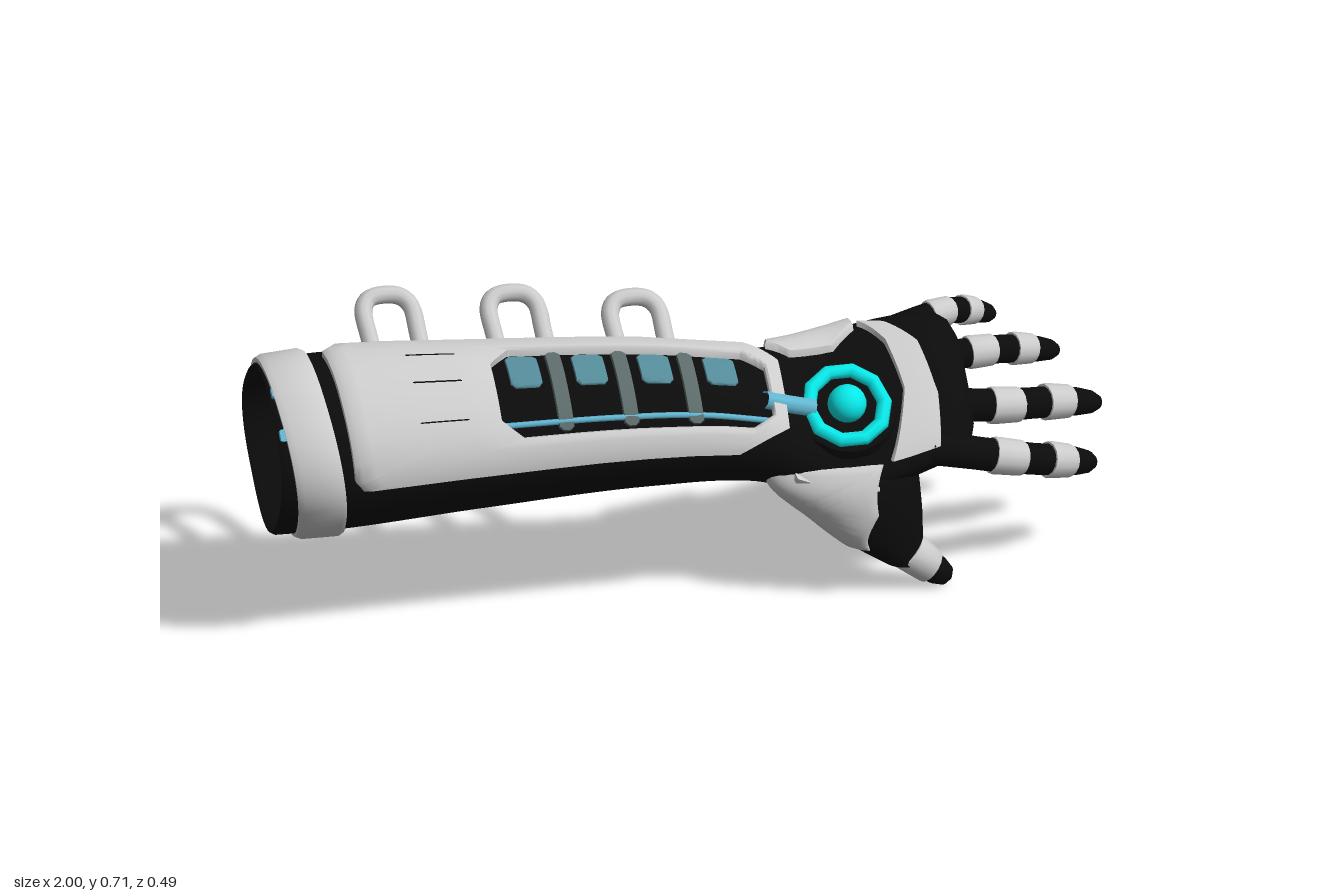
import * as THREE from 'three';
import { toCreasedNormals } from 'three/addons/utils/BufferGeometryUtils.js';

const mat = (color) => new THREE.MeshStandardMaterial({ color, side: THREE.DoubleSide });
const V = (x, y, z) => new THREE.Vector3(x, y, z);
const RAD = Math.PI / 180;

// Arm cross-section axes: N points out of the back of the hand, W to the little finger side
const N = V(0, 0.75, 0.66), W = V(0, 0.66, -0.75);

const table = (rows) => new THREE.CubicInterpolant(
  new Float32Array(rows.map((r) => r[0])),
  new Float32Array(rows.flatMap((r) => r.slice(1))), rows[0].length - 1);

// Arm sections along x: centre y, centre z, half width, thickness to the back, thickness to the palm
const arm = table([
  [-1.0, 0.45, 0.027, 0.198, 0.175, 0.14], [-0.85, 0.455, 0.03, 0.203, 0.178, 0.145],
  [-0.5, 0.46, 0.045, 0.184, 0.155, 0.142], [-0.1, 0.455, 0.06, 0.162, 0.13, 0.128],
  [0.15, 0.43, 0.062, 0.153, 0.106, 0.118], [0.25, 0.415, 0.06, 0.175, 0.08, 0.115],
  [0.35, 0.408, 0.06, 0.2, 0.06, 0.112], [0.45, 0.425, 0.056, 0.202, 0.056, 0.1],
  [0.58, 0.445, 0.047, 0.187, 0.052, 0.074], [0.66, 0.445, 0.035, 0.168, 0.044, 0.05],
]);

// Thumb mound sections going down (position is -y): centre x, centre z, half x, half z
const mound = table([
  [-0.42, 0.37, 0.09, 0.15, 0.065], [-0.3, 0.348, 0.145, 0.175, 0.08], [-0.2, 0.4, 0.155, 0.13, 0.076],
  [-0.12, 0.447, 0.165, 0.083, 0.055], [-0.07, 0.488, 0.166, 0.046, 0.042],
]);

// Point on the arm at x and angle (degrees from N), lifted off the surface; the palm side is squarer
function onArm(x, deg, lift = 0, scale = 1) {
  const [cy, cz, a, back, palm] = arm.evaluate(x);
  const cos = Math.cos(deg * RAD), power = cos < 0 ? 0.7 : 0.87;
  const [c, s] = [cos, Math.sin(deg * RAD)].map((v) => Math.sign(v) * Math.abs(v) ** power);
  const b = cos < 0 ? palm : back;
  return V(x, cy, cz).addScaledVector(N, (b + lift) * scale * c).addScaledVector(W, (a + lift) * scale * s);
}

// Point on the thumb mound, angle from the front towards the fingers
function onMound(down, deg, lift = 0) {
  const [cx, cz, a, b] = mound.evaluate(down);
  return V(cx + (a + lift) * Math.sin(deg * RAD), -down, cz + (b + lift) * Math.cos(deg * RAD));
}

// Skin over rows of points; each row is a closed loop
function skin(rows) {
  const n = rows[0].length, index = [];
  for (let r = 0; r < rows.length - 1; r++) {
    for (let c = 0; c < n; c++) {
      const d = (c + 1) % n;
      const p = r * n + c, q = p + n, s = r * n + d, t = s + n;
      index.push(p, q, t, p, t, s);
    }
  }
  const geo = new THREE.BufferGeometry().setFromPoints(rows.flat());
  geo.setIndex(index);
  return toCreasedNormals(geo, 0.9);
}

const loop = (n, point) => Array.from({ length: n }, (_, i) => point((i * 360) / n));
const armLoop = (x, lift, scale = 1) => loop(64, (deg) => onArm(x, deg, lift, scale));

// Armour plate on a surface, from an inner to an outer outline of [position, degrees] corners
function plate(outer, inner, lift, { hole = false, on = onArm } = {}) {
  const sub = 8, rings = 8;
  const trace = (pts) => pts.flatMap((p, i) => {
    const q = pts[(i + 1) % pts.length];
    return Array.from({ length: sub }, (_, k) => [
      p[0] + ((q[0] - p[0]) * k) / sub, p[1] + ((q[1] - p[1]) * k) / sub]);
  });
  const o = trace(outer), n = trace(inner);
  const ring = (f, h) => o.map((p, i) =>
    on(n[i][0] + (p[0] - n[i][0]) * f, n[i][1] + (p[1] - n[i][1]) * f, h));
  const rows = hole ? [ring(0, -0.01), ring(0, lift * 0.75)] : [ring(0, lift)];
  for (let k = 1; k < rings; k++) rows.push(ring(k / rings, lift));
  rows.push(ring(0.96, lift), ring(1, lift * 0.6), ring(1, -0.012));
  return skin(rows);
}

// Eight-cornered outline with chamfered corners
const outline = (x0, x1, d0, d1, cx, cd) => [
  [x0 + cx, d0], [x1 - cx, d0], [x1, d0 + cd], [x1, d1 - cd],
  [x1 - cx, d1], [x0 + cx, d1], [x0, d1 - cd], [x0, d0 + cd]];
function simplePlate(x0, x1, d0, d1, lift, cx = 0.01, cd = 3) {
  const mid = [(x0 + x1) / 2, (d0 + d1) / 2];
  return plate(outline(x0, x1, d0, d1, cx, cd), Array(8).fill(mid), lift);
}

// Round limb along a curve, with [t, radius] stations
function limb(curve, stations) {
  return skin(stations.map(([t, r]) => {
    const p = curve.getPoint(t), tan = curve.getTangent(t);
    const e1 = N.clone().addScaledVector(tan, -N.dot(tan)).normalize();
    const e2 = e1.clone().cross(tan);
    return loop(14, (deg) => p.clone()
      .addScaledVector(e1, r * Math.cos(deg * RAD)).addScaledVector(e2, r * Math.sin(deg * RAD)));
  }));
}
const band = (curve, t0, t1, r0, r1) => limb(curve, [
  [t0, r0 * 0.7], [t0, r0 * 0.95], [t0 + 0.02, r0], [t1 - 0.02, r1], [t1, r1 * 0.95], [t1, r1 * 0.7]]);

export function createModel() {
  const model = new THREE.Group();
  const white = mat(0xcccccc), black = mat(0x0b0b0b), cyan = mat(0x08e8e8);
  const glass = mat(0x548a98), steel = mat(0x5c6a6a), blue = mat(0x63b8d4);
  const add = (name, geo, material, parent = model) => {
    const mesh = new THREE.Mesh(geo, material);
    mesh.name = name;
    parent.add(mesh);
    return mesh;
  };

  // Dark sleeve with a hollow elbow end, running into the palm
  const rows = [armLoop(-0.9, 0, 0), armLoop(-0.9, 0, 0.85), armLoop(-0.99, 0, 0.93), armLoop(-1, 0, 0.97)];
  for (let i = 0; i <= 44; i++) rows.push(armLoop(-0.99 + (i * 1.61) / 44, 0));
  rows.push(armLoop(0.645, 0, 0.92), armLoop(0.66, 0, 0.7), armLoop(0.66, 0, 0));
  add('sleeve', skin(rows), black);

  // Elbow cuff with its rear tab and lights
  add('elbowCuff', skin([[-0.97, -0.01], [-0.97, 0.008], [-0.955, 0.014], [-0.87, 0.014],
    [-0.858, 0.008], [-0.858, -0.01]].map(([x, h]) => armLoop(x, h).map((p) => {
    p.x += (0.455 - p.y) * 0.13;
    return p;
  }))), white);
  add('cuffTab', simplePlate(-0.9, -0.53, 140, 208, 0.013, 0.06, 16), white);
  for (const d of [-12, 14]) add('cuffLight', simplePlate(-0.995, -0.96, d - 4, d + 4, 0.006, 0.004, 1), blue);

  // Forearm plate with its window
  add('forearmPlate', plate(
    [[-0.81, -58], [0.08, -57], [0.21, -24], [0.215, 26], [0.14, 53], [-0.83, 53], [-0.85, 46], [-0.83, -50]],
    outline(-0.475, 0.175, -30, 35, 0.05, 14), 0.022, { hole: true }), white);
  for (const d of [-14, 8, 30]) add('plateSlit', simplePlate(-0.67, -0.55, d - 0.4, d + 0.4, 0.023, 0.004, 0.2), black);

  // Window contents: glass cells, ribs and a light rail
  for (let i = 0; i < 4; i++) {
    const x = -0.4 + i * 0.155;
    add('glassCell', simplePlate(x - 0.035, x + 0.04, 4, 32, 0.006), glass);
    if (i < 3) add('windowRib', simplePlate(x + 0.06, x + 0.095, -28, 34, 0.012), steel);
  }
  const rail = new THREE.CatmullRomCurve3([-0.5, -0.2, 0, 0.19].map((x) => onArm(x, -20, 0.006)));
  add('lightRail', new THREE.TubeGeometry(rail, 20, 0.007, 6), blue);

  // Link between forearm plate and wrist dial
  const link = new THREE.CatmullRomCurve3([0.16, 0.22, 0.28].map((x) => onArm(x, -4, 0.004)));
  add('wristLink', new THREE.TubeGeometry(link, 8, 0.022, 8), blue);

  // Three tube handles along the upper edge
  for (const [x, y, z] of [[-0.65, 0.695, -0.212], [-0.36, 0.68, -0.187], [-0.08, 0.652, -0.157]]) {
    const at = (dx, depth) => V(x + dx, y, z).addScaledVector(W, -depth);
    const path = new THREE.CatmullRomCurve3([at(-0.05, 0.17), at(-0.055, 0.1), at(-0.055, 0.03), at(-0.035, 0.004),
      at(0.03, 0.004), at(0.055, 0.03), at(0.06, 0.1), at(0.06, 0.17)]);
    add('handle', new THREE.TubeGeometry(path, 40, 0.021, 10), white);
  }

  // Wrist band round the palm side, and crescent plate behind the knuckles
  add('wristBand', plate(
    [[0.25, 38], [0.36, 38], [0.42, 58], [0.42, 110], [0.46, 180], [0.46, 245], [0.4, 285], [0.22, 285],
      [0.2, 245], [0.24, 180], [0.22, 110], [0.2, 58]],
    [[0.31, 56], [0.31, 56], [0.31, 75], [0.31, 110], [0.35, 180], [0.33, 240], [0.31, 270], [0.31, 270],
      [0.33, 240], [0.35, 180], [0.31, 110], [0.31, 75]], 0.017), white);
  add('knucklePlate', plate(
    [[0.565, -54], [0.578, -10], [0.555, 25], [0.49, 52], [0.43, 64], [0.48, 32], [0.5, -2], [0.445, -52]],
    [[0.51, -50], [0.54, -6], [0.517, 28], [0.46, 54], [0.46, 54], [0.517, 28], [0.54, -6], [0.51, -50]], 0.013), white);

  // Glowing dial on the back of the hand
  const dial = new THREE.Group();
  dial.name = 'dial';
  dial.position.set(0.36, 0.438, 0.108);
  dial.quaternion.setFromUnitVectors(V(0, 1, 0), N.clone().normalize());
  model.add(dial);
  add('dialBase', new THREE.CylinderGeometry(0.118, 0.13, 0.04, 24), black, dial);
  const ring = add('dialRing', new THREE.TorusGeometry(0.09, 0.018, 8, 10), cyan, dial);
  ring.rotation.x = Math.PI / 2;
  ring.position.y = 0.02;
  add('dialBall', new THREE.SphereGeometry(0.045, 20, 14), cyan, dial).position.y = 0.03;

  // Fingers: base, two banded joints, tip
  const fingers = {
    indexFinger: [0.039, [0.54, 0.35, 0.165], [0.73, 0.295, 0.145], [0.86, 0.255, 0.105], [0.965, 0.215, 0.05]],
    middleFinger: [0.039, [0.56, 0.42, 0.085], [0.745, 0.385, 0.058], [0.875, 0.362, 0.015], [1.0, 0.325, -0.035]],
    ringFinger: [0.035, [0.54, 0.49, 0.005], [0.71, 0.487, -0.03], [0.815, 0.465, -0.07], [0.92, 0.43, -0.115]],
    littleFinger: [0.032, [0.48, 0.53, -0.07], [0.64, 0.55, -0.125], [0.715, 0.527, -0.175], [0.795, 0.485, -0.228]],
  };
  for (const [name, [r, ...pts]] of Object.entries(fingers)) {
    const curve = new THREE.CatmullRomCurve3(pts.map((p) => V(...p)));
    const finger = new THREE.Group();
    finger.name = name;
    model.add(finger);
    add('fingerCore', limb(curve, [[0, r * 1.1], [0.2, r], [0.34, r], [0.5, r * 0.95], [0.67, r * 0.95],
      [0.82, r * 0.85], [0.93, r * 0.68], [0.98, r * 0.42], [1, 0]]), black, finger);
    add('knuckleBand', band(curve, 0.27, 0.43, r * 1.14, r * 1.08), white, finger);
    add('jointBand', band(curve, 0.6, 0.77, r * 1.12, r * 1.02), white, finger);
  }

  // Thumb: wide mound with an outer guard, then a banded tip
  const thumb = new THREE.Group();
  thumb.name = 'thumb';
  model.add(thumb);
  const moundRows = Array.from({ length: 15 }, (_, i) => loop(28, (deg) => onMound(-0.42 + i * 0.025, deg)));
  moundRows.push(loop(28, (deg) => onMound(-0.07, deg, -0.042)));
  add('thumbMound', skin(moundRows), black, thumb);
  add('thumbGuard', plate(
    [[-0.34, -90], [-0.24, -165], [-0.125, -110], [-0.125, -35], [-0.22, 8], [-0.335, 26]],
    Array(6).fill([-0.24, -60]), 0.011, { on: onMound }), white, thumb);
  const thumbCurve = new THREE.CatmullRomCurve3(
    [[0.42, 0.18, 0.162], [0.48, 0.11, 0.166], [0.54, 0.055, 0.167], [0.598, 0.012, 0.165]].map((p) => V(...p)));
  add('thumbCore', limb(thumbCurve, [[0, 0.05], [0.33, 0.044], [0.6, 0.038], [0.8, 0.034], [0.93, 0.024], [1, 0]]),
    black, thumb);
  add('thumbBand', band(thumbCurve, 0.42, 0.72, 0.049, 0.042), white, thumb);

  return model;
}
